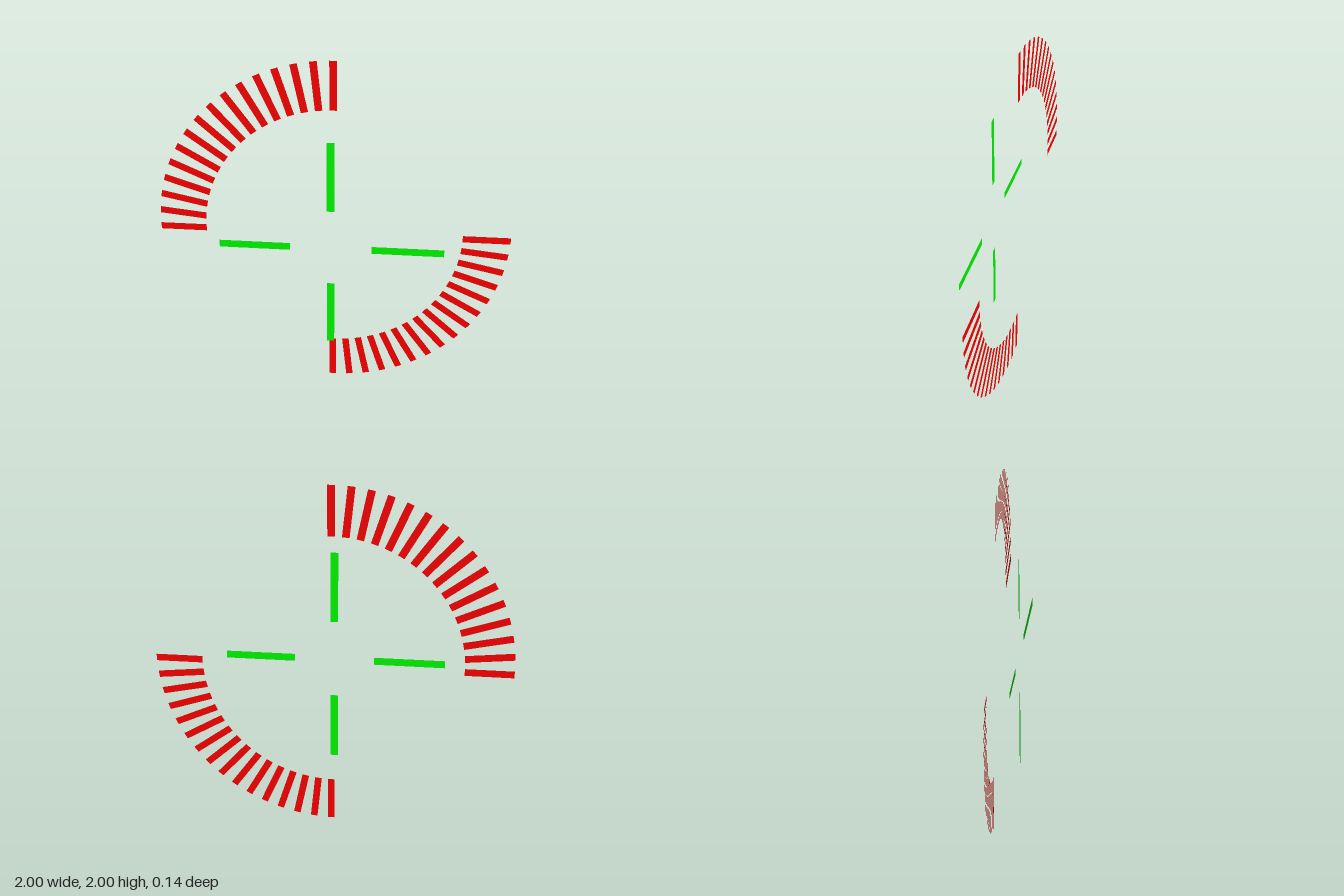
import * as THREE from 'three';

const CENTER_Y = 1;
const DEPTH = 0.07;      // arcs sit behind, cross bars in front
const BARS_PER_ARC = 16;

const paint = (color) => new THREE.MeshStandardMaterial({ color, side: THREE.DoubleSide });

// Flat bar pointing outward from the centre between two radii
function radialBar(name, inner, outer, width, angle, material) {
  const geometry = new THREE.PlaneGeometry(outer - inner, width);
  geometry.translate((inner + outer) / 2, 0, 0);
  const bar = new THREE.Mesh(geometry, material);
  bar.rotation.z = angle;
  bar.name = name;
  return bar;
}

// Quarter ring of evenly spaced bars
function gaugeArc(name, startAngle, material) {
  const arc = new THREE.Group();
  arc.name = name;
  for (let i = 0; i < BARS_PER_ARC; i++) {
    const angle = startAngle + (i / (BARS_PER_ARC - 1)) * Math.PI / 2;
    arc.add(radialBar('gaugeBar', 0.733, 1, 0.04, angle, material));
  }
  arc.position.set(0, CENTER_Y, -DEPTH);
  return arc;
}

export function createModel() {
  const model = new THREE.Group();
  model.name = 'reticle';
  const red = paint(0xff0000);
  const green = paint(0x00ff00);

  // Two opposite gauge arcs
  model.add(gaugeArc('upperArc', Math.PI / 2, red));
  model.add(gaugeArc('lowerArc', Math.PI * 1.5, red));

  // Four cross bars around an open middle
  const cross = new THREE.Group();
  cross.name = 'crosshair';
  ['leftBar', 'topBar', 'rightBar', 'bottomBar'].forEach((name, i) => {
    cross.add(radialBar(name, 0.228, 0.628, 0.043, i * Math.PI / 2, green));
  });
  cross.position.set(0, CENTER_Y - 0.021, DEPTH);
  model.add(cross);

  return model;
}
